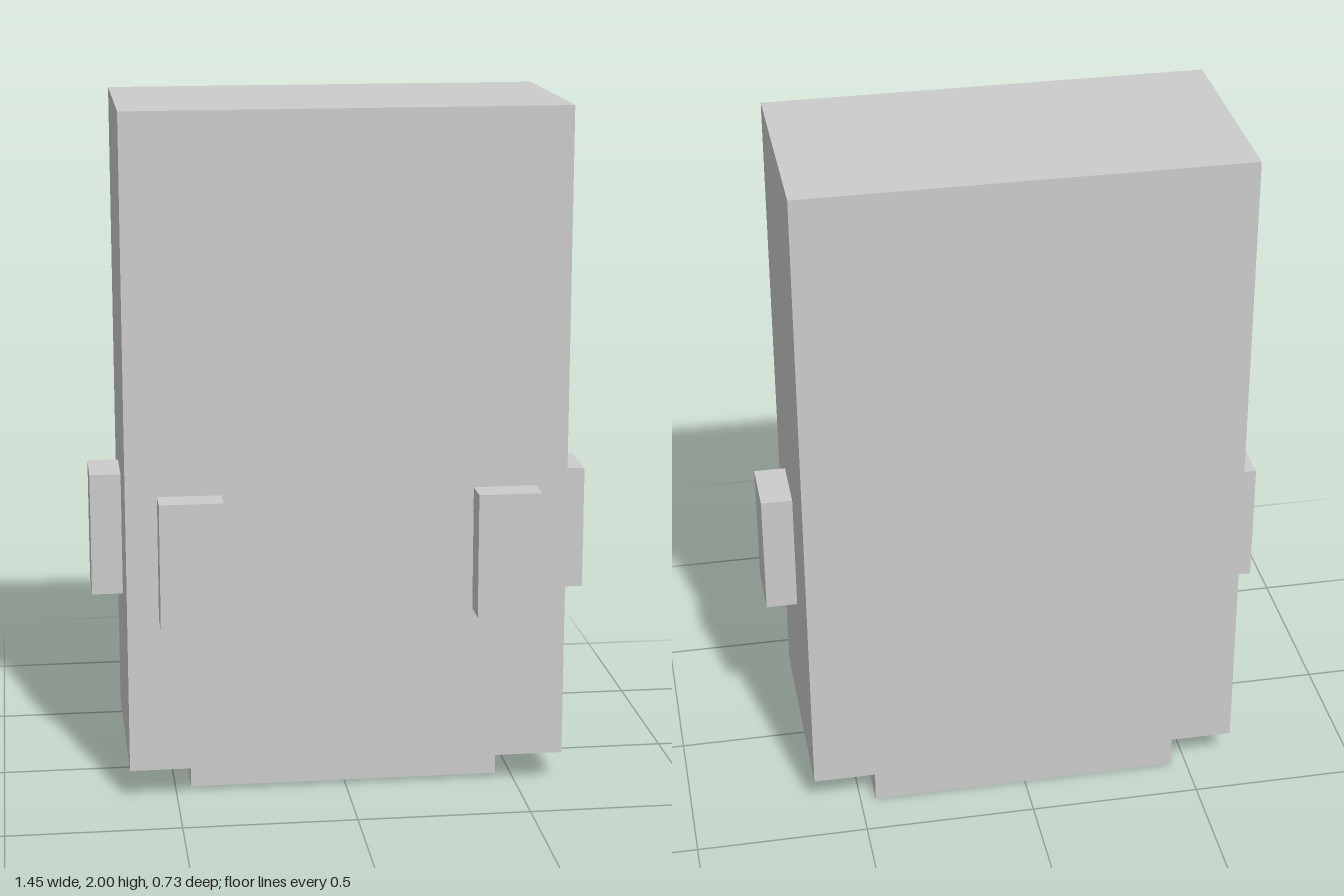
import * as THREE from 'three';

// All parts sit on a grid of 22 units over the 2-unit height.
const U = 2 / 22;

export function createModel() {
  const group = new THREE.Group();
  const material = new THREE.MeshStandardMaterial({ color: 0xcccccc, flatShading: true });

  // Box from its minimum and maximum corners, in grid units.
  function block(name, [x0, y0, z0], [x1, y1, z1]) {
    const geometry = new THREE.BoxGeometry((x1 - x0) * U, (y1 - y0) * U, (z1 - z0) * U);
    const mesh = new THREE.Mesh(geometry, material);
    mesh.position.set(x0 + x1, y0 + y1, z0 + z1).multiplyScalar(U / 2);
    mesh.name = name;
    group.add(mesh);
  }

  // Tall main body on a narrower base, flush at the back
  block('body', [-7, 1, -4], [7, 22, 3]);
  block('base', [-5, 0, -4], [5, 1, 2]);

  // Front pads, mirrored
  block('frontPadLeft', [4, 6, 3], [6, 10, 4]);
  block('frontPadRight', [-6, 6, 3], [-4, 10, 4]);

  // Side pads; the right one sits one unit further back
  block('sidePadLeft', [7, 6, -1], [8, 10, 1]);
  block('sidePadRight', [-8, 6, -2], [-7, 10, 0]);

  return group;
}
